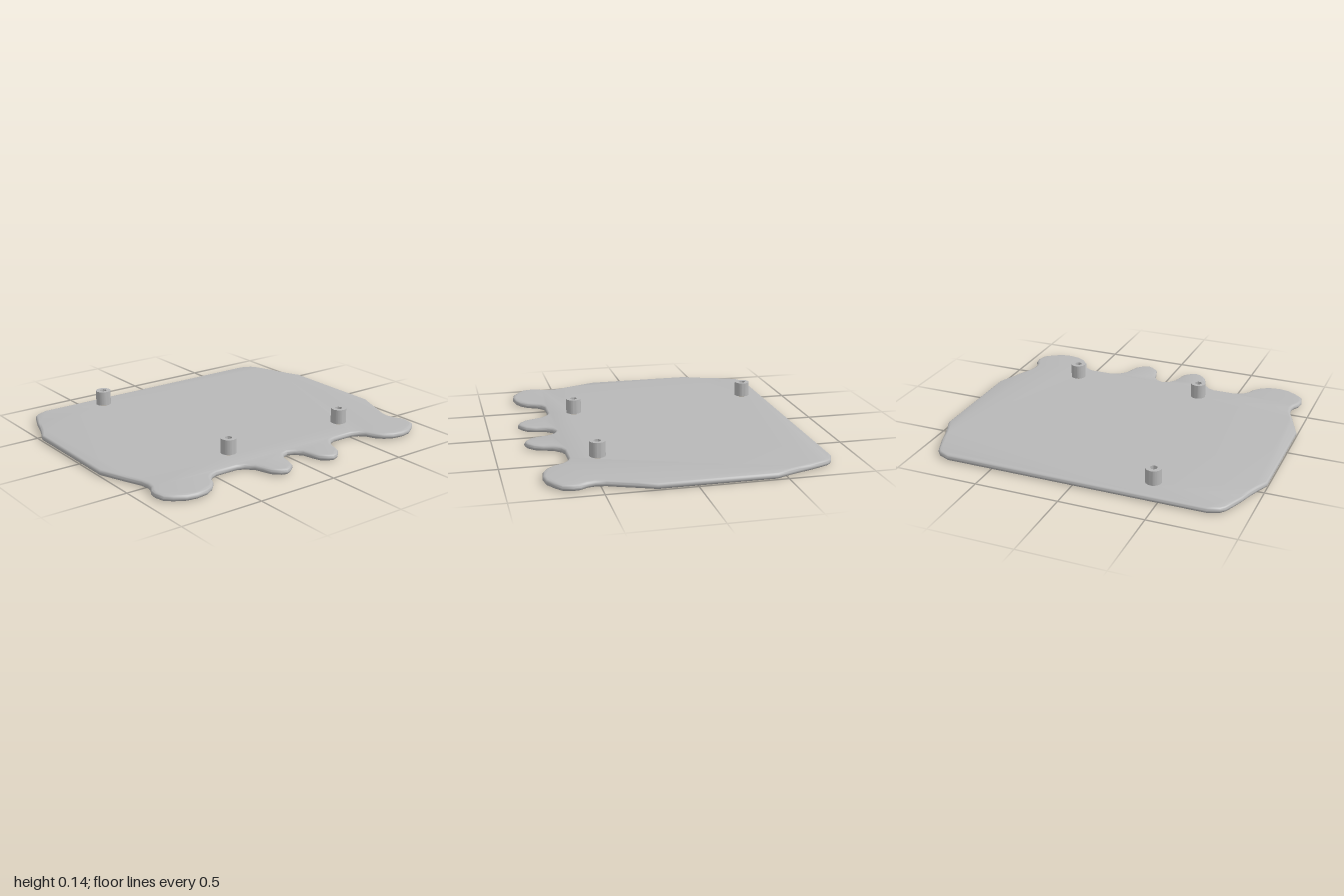
import * as THREE from 'three';
import { toCreasedNormals } from 'three/addons/utils/BufferGeometryUtils.js';

const THICKNESS = 0.037;
const BEVEL = 0.02;
const HOLE = 0.021;
const POSTS = [[-0.43, -0.69], [-0.3, 0.455], [0.535, 0.455]];

// Left half of the plate outline (x, z), from the front notch round to the back edge
const HALF = [
  [0.04, 0.628], [0.07, 0.665], [0.082, 0.72], [0.1, 0.775], [0.14, 0.808], [0.17, 0.82],
  [0.205, 0.808], [0.245, 0.77], [0.264, 0.72], [0.28, 0.67], [0.32, 0.628], [0.36, 0.612],
  [0.5, 0.612], [0.54, 0.63], [0.57, 0.66], [0.592, 0.71], [0.63, 0.752], [0.68, 0.78],
  [0.75, 0.79], [0.81, 0.78], [0.87, 0.745], [0.912, 0.71], [0.927, 0.65], [0.922, 0.61],
  [0.898, 0.57], [0.89, 0.53], [0.898, 0.475], [0.935, 0.385], [0.96, 0.32], [1, 0.22],
  [1, -0.44], [0.965, -0.52], [0.942, -0.58], [0.92, -0.65], [0.89, -0.725], [0.868, -0.775],
  [0.845, -0.8], [0.78, -0.828],
];

function circleHole(x, z, r) {
  return new THREE.Path().absarc(x, z, r, 0, Math.PI * 2, true);
}

// Rounded-edge plate with straight holes bored under the posts
function plateGeometry() {
  const mirrored = HALF.map(([x, z]) => [-x, z]).reverse();
  const outline = [[0, 0.612], ...HALF, ...mirrored].map(([x, z]) => new THREE.Vector2(x, z));
  const shape = new THREE.Shape(outline);
  POSTS.forEach(([x, z]) => shape.holes.push(circleHole(x, z, HOLE)));
  const bevelThickness = 0.016;
  const geometry = new THREE.ExtrudeGeometry(shape, {
    depth: THICKNESS - 2 * bevelThickness, curveSegments: 12, bevelThickness,
    bevelSize: BEVEL, bevelOffset: -BEVEL, bevelSegments: 4,
  });
  geometry.translate(0, 0, bevelThickness);

  // Pull the bevelled hole rims back to a straight bore
  const p = geometry.attributes.position;
  for (let i = 0; i < p.count; i++) {
    for (const [x, z] of POSTS) {
      const dx = p.getX(i) - x, dz = p.getY(i) - z, d = Math.hypot(dx, dz);
      if (d < 0.06) p.setXY(i, x + dx / d * HOLE, z + dz / d * HOLE);
    }
  }
  geometry.rotateX(Math.PI / 2).translate(0, THICKNESS, 0);
  return toCreasedNormals(geometry, 0.7);
}

// Hollow stand-off post
function postGeometry(height) {
  const ring = new THREE.Shape().absarc(0, 0, 0.046, 0, Math.PI * 2, false);
  ring.holes.push(circleHole(0, 0, HOLE));
  const geometry = new THREE.ExtrudeGeometry(ring, { depth: height, curveSegments: 32, bevelEnabled: false });
  geometry.rotateX(-Math.PI / 2);
  return toCreasedNormals(geometry, 0.7);
}

export function createModel() {
  const group = new THREE.Group();
  group.name = 'mountingPlate';
  const grey = new THREE.MeshStandardMaterial({ color: 0xb8b8b8 });
  grey.name = 'grey';

  const plate = new THREE.Mesh(plateGeometry(), grey);
  plate.name = 'plate';
  group.add(plate);

  // Posts hover just above the plate
  const geometry = postGeometry(0.088);
  const names = ['backPost', 'frontRightPost', 'frontLeftPost'];
  POSTS.forEach(([x, z], i) => {
    const post = new THREE.Mesh(geometry, grey);
    post.name = names[i];
    post.position.set(x, 0.049, z);
    group.add(post);
  });
  return group;
}
